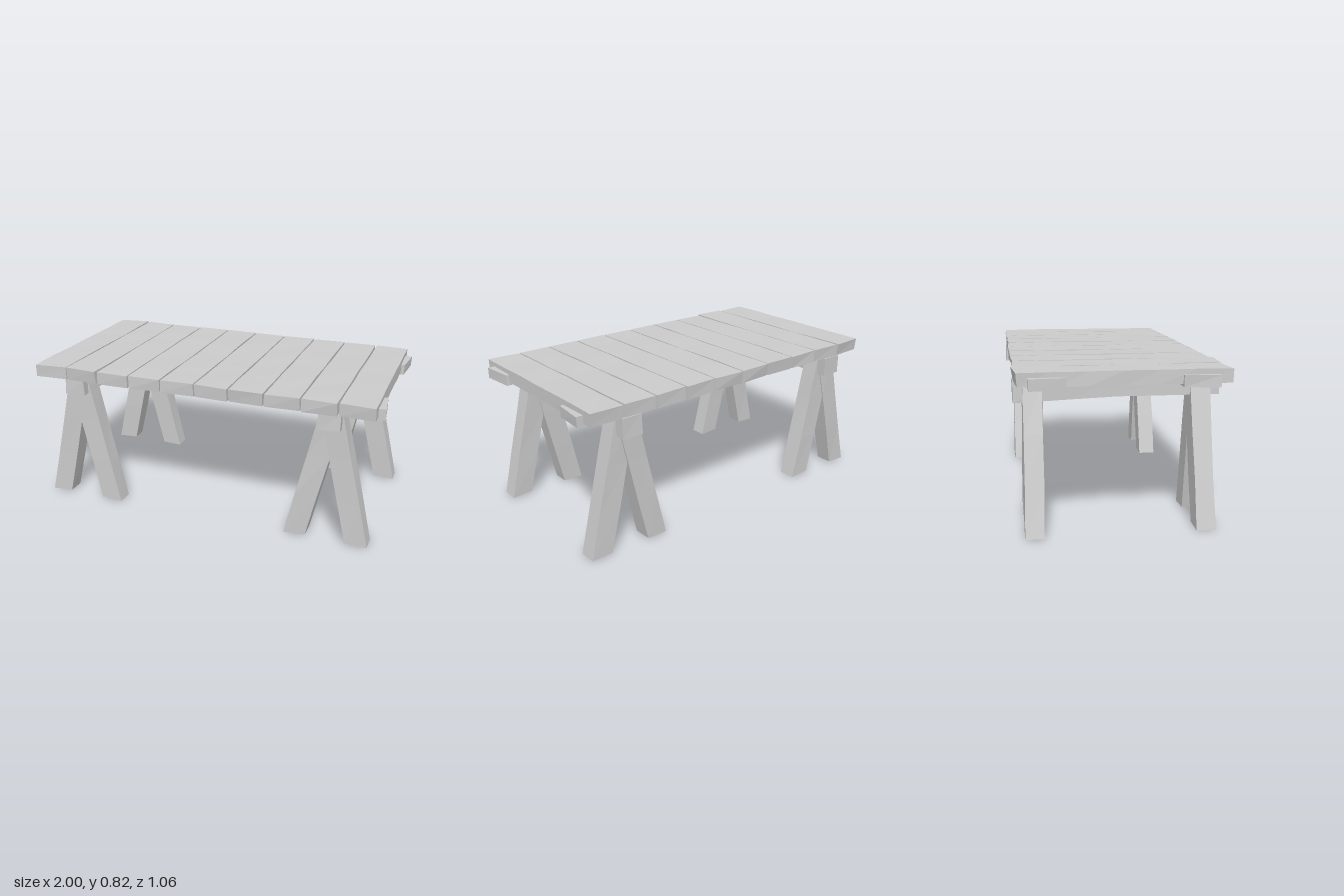
import * as THREE from 'three';
import { mergeVertices } from 'three/addons/utils/BufferGeometryUtils.js';

const wood = new THREE.MeshStandardMaterial({ color: 0xcccccc, flatShading: true });

export function createModel() {
  const group = new THREE.Group();

  // Seeded noise in the range -1..1
  let seed = 11;
  const noise = () => {
    seed = (seed * 16807) % 2147483647;
    return (seed / 2147483647) * 2 - 1;
  };

  // Rough-hewn timber: a segmented box whose welded corners are nudged, then reshaped by a rule
  function timber(name, size, segments, wobble, reshape) {
    let geo = new THREE.BoxGeometry(...size, ...segments);
    geo.deleteAttribute('normal');
    geo.deleteAttribute('uv');
    geo = mergeVertices(geo);
    const p = geo.attributes.position;
    const v = new THREE.Vector3();
    for (let i = 0; i < p.count; i++) {
      v.fromBufferAttribute(p, i);
      v.x += noise() * wobble[0];
      v.y += noise() * wobble[1];
      v.z += noise() * wobble[2];
      if (reshape) reshape(v);
      p.setXYZ(i, v.x, v.y, v.z);
    }
    geo.computeVertexNormals();
    const mesh = new THREE.Mesh(geo, wood);
    mesh.name = name;
    group.add(mesh);
    return mesh;
  }

  // Ten tabletop planks with slightly uneven ends
  for (let i = 0; i < 10; i++) {
    const tilt = noise() * 0.006;
    timber('plank', [0.184, 0.07, 1.042], [1, 1, 6], [0.002, 0.002, 0.004], (v) => {
      if (Math.abs(v.z) > 0.45) v.z += tilt * Math.sign(v.x);
      if (v.y < 0) v.z *= 0.992;
    }).position.set((i - 4.5) * 0.193, 0.78, 0);
  }

  for (const side of [1, -1]) {
    // Long rail under the planks, its ends cut at a slant
    timber('longRail', [1.975, 0.058, 0.176], [6, 1, 1], [0.003, 0.002, 0.002], (v) => {
      if (Math.abs(v.x) > 0.9) v.x += Math.sign(v.x) * v.z * side * 0.1;
    }).position.set(0, 0.76, side * 0.368);

    // Cross beam joining a front and a back pair of legs
    timber('crossBeam', [0.118, 0.09, 1.03], [1, 1, 4], [0.003, 0.002, 0.004], (v) => {
      if (v.y < 0) v.y += v.z > 0 ? 0.004 : v.z * 0.03;
    }).position.set(side * 0.73, 0.7, -0.008);

    // Splayed pairs of legs crossing beneath each beam end
    for (const end of [1, -1]) {
      for (const lean of [1, -1]) {
        timber('leg', [0.12, 0.735, 0.096], [1, 3, 1], [0.002, 0.001, 0.003], (v) => {
          const drop = 0.3675 - v.y;
          v.x += lean * drop * 0.232;
          v.z += end * drop * 0.01;
          if (v.y < -0.3) v.y += v.x * lean < 0.17 ? 0.006 : 0;
        }).position.set(side * 0.73, 0.3685, end > 0 ? 0.411 + lean * 0.003 : -0.425 + lean * 0.003);
      }
    }
  }
  return group;
}
